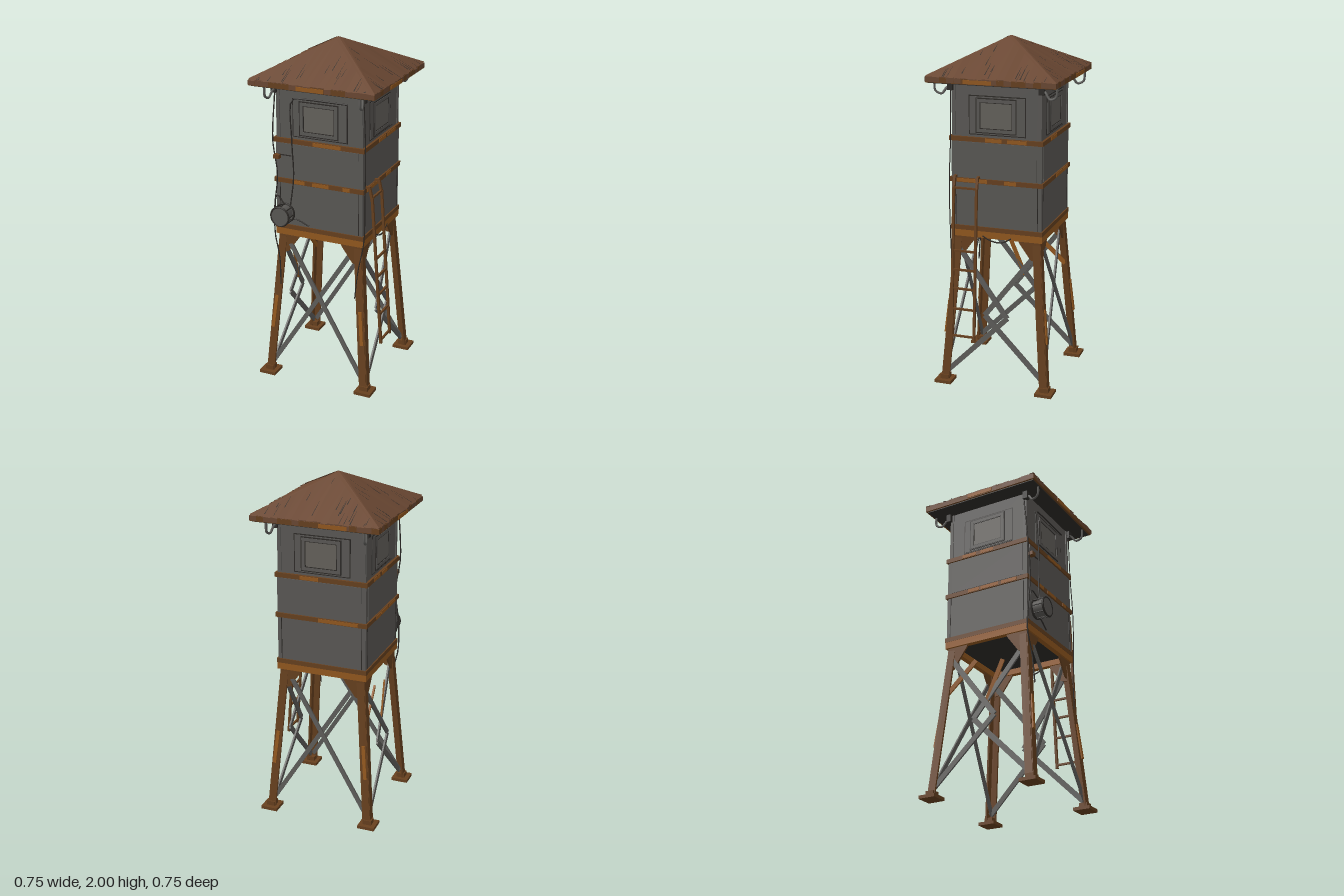
import * as THREE from 'three';

const mat = (name, color, side = THREE.FrontSide) => {
  const m = new THREE.MeshStandardMaterial({ color, side });
  m.name = name;
  return m;
};

export function createModel() {
  const wood = mat('roof wood', 0x6b4833, THREE.DoubleSide);
  const wall = mat('wall grey', 0x5b5956);
  const pane = mat('window grey', 0x66635d);
  const steel = mat('brace steel', 0x5e5d5a);
  const rust = mat('dark rust', 0x68411f);
  const orange = mat('bright rust', 0x94591f);
  const dark = mat('dark iron', 0x2e2b28, THREE.DoubleSide);

  const tower = new THREE.Group();
  tower.name = 'watchtower';
  tower.position.x = -0.005;
  const V = (x, y, z) => new THREE.Vector3(x, y, z);
  let seed = 7;
  const rnd = () => (seed = (seed * 16807) % 2147483647) / 2147483647;

  const add = (name, geo, material, parent = tower) => {
    const m = new THREE.Mesh(geo, material);
    m.name = name;
    parent.add(m);
    return m;
  };
  const box = (name, w, h, d, x, y, z, material, parent) => {
    const m = add(name, new THREE.BoxGeometry(w, h, d), material, parent);
    m.position.set(x, y, z);
    return m;
  };
  // Rectangular bar between two points
  const bar = (name, a, b, w, d, material, parent) => {
    const dir = b.clone().sub(a);
    const m = add(name, new THREE.BoxGeometry(w, dir.length(), d), material, parent);
    m.position.copy(a).add(b).multiplyScalar(0.5);
    m.quaternion.setFromUnitVectors(V(0, 1, 0), dir.normalize());
    return m;
  };
  const cable = (name, pts, r, material, parent) =>
    add(name, new THREE.TubeGeometry(new THREE.CatmullRomCurve3(pts.map(p => V(...p))), 24, r, 6), material, parent);
  // Group turned so that its local +z points out of side i (front, left, back, right)
  const face = (name, i) => {
    const g = new THREE.Group();
    g.name = name + i;
    g.rotation.y = i * Math.PI / 2;
    tower.add(g);
    return g;
  };
  const quads = (list) => {
    const pos = [];
    for (const [a, b, c, d] of list) for (const p of [a, b, c, a, c, d]) pos.push(p.x, p.y, p.z);
    const g = new THREE.BufferGeometry();
    g.setAttribute('position', new THREE.Float32BufferAttribute(pos, 3));
    g.computeVertexNormals();
    return g;
  };

  // Cabin walls and floor
  box('lowerCabin', 0.526, 0.53, 0.526, 0, 1.195, 0, wall);
  box('upperCabin', 0.51, 0.33, 0.51, 0, 1.615, 0, wall);
  box('floor', 0.5, 0.01, 0.5, 0, 0.927, 0, dark);

  for (let i = 0; i < 4; i++) {
    const g = face('cabinSide', i);
    // Floor beam and wall bands
    box('floorBeam', 0.536, 0.04, 0.03, 0, 0.908, 0.253, orange, g);
    box('sillBeam', 0.54, 0.026, 0.02, 0, 0.94, 0.26, rust, g);
    for (const y of [1.217, 1.452]) {
      box('wallBand', 0.544, 0.026, 0.014, 0, y, 0.265, rust, g);
      for (let k = 0; k < 3; k++)
        box('rustPatch', 0.04 + rnd() * 0.08, 0.02, 0.004, (rnd() - 0.5) * 0.4, y, 0.2725, orange, g);
    }
    box('wallPlate', 0.47, 0.2, 0.006, 0, 1.335, 0.264, wall, g);
    for (const s of [-1, 1]) {
      box('panelSeam', 0.004, 0.25, 0.003, s * 0.24, 1.08, 0.2635, dark, g);
      box('cornerTrim', 0.02, 0.3, 0.008, s * 0.247, 1.615, 0.256, wall, g);
    }
    // Window: dark surround, outer frame, inner frame, pane
    box('windowRecess', 0.33, 0.22, 0.003, 0.005, 1.587, 0.256, dark, g);
    box('shutterBoard', 0.318, 0.208, 0.006, 0.005, 1.587, 0.257, wall, g);
    const frame = (w, h, t, z, material) => {
      for (const s of [-1, 1]) {
        box('windowFrame', t, h, 0.01, s * (w - t) / 2, 1.587, z, material, g);
        box('windowFrame', w, t, 0.01, 0, 1.587 + s * (h - t) / 2, z, material, g);
      }
    };
    frame(0.236, 0.196, 0.006, 0.259, dark);
    frame(0.224, 0.184, 0.018, 0.261, wall);
    frame(0.188, 0.15, 0.005, 0.259, dark);
    box('windowPane', 0.178, 0.14, 0.006, 0, 1.587, 0.259, pane, g);
  }

  // Roof: solid pyramid, uneven planks, hip boards, cracks
  const H = 0.368, eaveY = 1.8, rise = 0.19;
  box('roofRim', 0.735, 0.03, 0.735, 0, 1.787, 0, rust);
  box('roofCeiling', 0.715, 0.006, 0.715, 0, 1.77, 0, dark);
  const pyramid = add('roofCore', new THREE.ConeGeometry(H * Math.SQRT2, rise, 4, 1).rotateY(Math.PI / 4).toNonIndexed(), wood);
  pyramid.geometry.computeVertexNormals();
  pyramid.position.y = eaveY + rise / 2;
  // Point on the front slope: u across, z out from the centre, lift off the slope
  const slope = (u, z, lift) => V(u, eaveY + rise * (1 - z / H) + lift, z);
  for (let i = 0; i < 4; i++) {
    const g = face('roofSide', i);
    const planks = [], cracks = [];
    const n = 18;
    for (let k = 0; k < n; k++) {
      const a = -H + 2 * H * k / n, b = -H + 2 * H * (k + 1) / n;
      const e = H + (rnd() - 0.4) * 0.008, l1 = 0.001 + rnd() * 0.006, l2 = 0.001 + rnd() * 0.006;
      const A = slope(a, e, l1), B = slope(b, e, l2);
      planks.push([A, B, slope(b, Math.abs(b), l2), slope(a, Math.abs(a), l1)]);
      planks.push([V(a, 1.776, e), V(b, 1.776, e), B, A]);
    }
    for (let k = 0; k < 18; k++) {
      const u = (rnd() - 0.5) * 0.64, top = Math.abs(u) + 0.02;
      const z0 = top + rnd() * (H - top) * 0.7, z1 = Math.min(H, z0 + 0.04 + rnd() * 0.09), w = 0.001 + rnd() * 0.002;
      cracks.push([slope(u - w, z1, 0.009), slope(u + w, z1, 0.009), slope(u + 0.003, z0, 0.009), slope(u + 0.002, z0, 0.009)]);
    }
    add('roofPlanks', quads(planks), wood, g);
    add('roofCracks', quads(cracks), dark, g);
    const c = 0.022;
    add('hipBoard', quads([
      [slope(H - c, H, 0.009), V(H, eaveY + 0.009, H), V(0, 1.998, 0), slope(-c * 0.3, c, 0.009)],
      [V(H, eaveY + 0.009, H), V(H, eaveY + 0.009, H - c), V(c, 1.99, 0), V(0, 1.998, 0)],
    ]), wood, g);
    box('rimPatch', 0.16, 0.022, 0.004, (rnd() - 0.5) * 0.3, 1.786, H + 0.003, orange, g);
  }

  // Legs, feet, gussets and eave struts at the four corners
  for (const sx of [-1, 1]) for (const sz of [-1, 1]) {
    const g = new THREE.Group();
    g.name = 'cornerLeg';
    tower.add(g);
    const P = (h, y, dx = 0, dz = 0) => V(sx * (h - dx), y, sz * (h - dz));
    bar('legFlange', P(0.318, 0.02, 0.02, 0), P(0.248, 0.91, 0.02, 0), 0.044, 0.012, rust, g);
    bar('legFlange', P(0.318, 0.02, 0, 0.02), P(0.248, 0.91, 0, 0.02), 0.012, 0.044, rust, g);
    bar('legRustStreak', P(0.303, 0.3, 0.02, -0.005), P(0.283, 0.5, 0.02, -0.005), 0.02, 0.008, orange, g);
    box('footPlate', 0.1, 0.018, 0.1, sx * 0.305, 0.009, sz * 0.305, rust, g);
    box('footBlock', 0.05, 0.03, 0.05, sx * 0.304, 0.03, sz * 0.304, rust, g);
    const s = new THREE.Shape([[0.255, 0.9], [0.12, 0.9], [0.135, 0.87], [0.2, 0.78], [0.245, 0.77]].map(p => new THREE.Vector2(sx * p[0], p[1])));
    const plate = new THREE.ExtrudeGeometry(s, { depth: 0.01, bevelEnabled: false });
    add('gusset', plate, rust, g).position.z = sz * 0.252 - 0.005;
    const s2 = new THREE.Shape([[0.255, 0.9], [0.12, 0.9], [0.135, 0.87], [0.2, 0.78], [0.245, 0.77]].map(p => new THREE.Vector2(-sz * p[0], p[1])));
    const side = add('gusset', new THREE.ExtrudeGeometry(s2, { depth: 0.01, bevelEnabled: false }), rust, g);
    side.rotation.y = Math.PI / 2;
    side.position.x = sx * 0.252 - 0.005;
    cable('eaveStrut', [[sx * 0.25, 1.74, sz * 0.255], [sx * 0.265, 1.735, sz * 0.28], [sx * 0.275, 1.7, sz * 0.31],
      [sx * 0.28, 1.715, sz * 0.345], [sx * 0.28, 1.77, sz * 0.35]], 0.007, steel, g);
    box('eaveBracket', 0.03, 0.05, 0.03, sx * 0.265, 1.745, sz * 0.262, dark, g);
  }

  // Cross braces: straight at front and back, buckled on the two sides
  for (const s of [-1, 1]) for (const m of [-1, 1]) {
    const off = m * 0.007;
    bar('straightBrace', V(m * 0.295, 0.06, s * 0.298 + off), V(-m * 0.185, 0.83, s * 0.245 + off), 0.026, 0.01, steel);
    const path = [V(s * 0.298 + off, 0.06, m * 0.295), V(s * 0.278 + off, 0.425, -m * 0.07), V(s * 0.245 + off, 0.81, m * 0.225)];
    for (let k = 0; k < 2; k++) bar('buckledBrace', path[k], path[k + 1], 0.01, 0.03, steel);
  }
  bar('looseStrut', V(-0.25, 0.78, -0.07), V(-0.265, 0.6, -0.255), 0.01, 0.026, orange);
  bar('looseStrut', V(-0.25, 0.75, 0.1), V(-0.265, 0.5, 0), 0.01, 0.024, orange);

  // Ladder on the left side
  const ladder = new THREE.Group();
  ladder.name = 'ladder';
  tower.add(ladder);
  const railX = y => 0.308 + (1.17 - y) * 0.073;
  for (const z of [0.1, 0.235]) {
    bar('ladderRail', V(railX(0.3), 0.3, z), V(railX(1.18), 1.18, z), 0.014, 0.014, rust, ladder);
    bar('ladderHook', V(railX(1.18), 1.17, z), V(0.29, 1.245, z), 0.014, 0.014, rust, ladder);
    bar('ladderHook', V(0.295, 1.238, z), V(0.262, 1.238, z), 0.014, 0.014, rust, ladder);
  }
  for (const y of [0.32, 0.48, 0.6, 0.71, 0.82, 1.18])
    bar('ladderRung', V(railX(y), y, 0.1), V(railX(y), y, 0.235), 0.011, 0.011, rust, ladder);

  // Searchlight with cage on the front wall
  const lamp = new THREE.Group();
  lamp.name = 'searchlight';
  lamp.position.set(-0.2, 1.03, 0.32);
  tower.add(lamp);
  add('lampDrum', new THREE.CylinderGeometry(0.052, 0.044, 0.075, 18).rotateX(Math.PI / 2), wall, lamp);
  for (const z of [-0.035, 0.035]) add('lampHoop', new THREE.TorusGeometry(0.055, 0.006, 6, 24), dark, lamp).position.z = z;
  for (let k = 0; k < 8; k++) {
    const a = k * Math.PI / 4, c = Math.cos(a) * 0.056, s = Math.sin(a) * 0.056;
    bar('cageBar', V(c, s, -0.04), V(c, s, 0.04), 0.005, 0.005, dark, lamp);
  }
  box('lampArm', 0.03, 0.03, 0.04, 0, 0, -0.045, dark, lamp);

  // Cables, conduit and junction box
  cable('frontConduit', [[0.17, 1.7, 0.265], [-0.1, 1.7, 0.268], [-0.155, 1.69, 0.27], [-0.155, 1.45, 0.28], [-0.15, 1.25, 0.275], [-0.165, 1.08, 0.29]], 0.004, dark);
  cable('lampCable', [[-0.2, 1.09, 0.3], [-0.25, 1.13, 0.285], [-0.265, 1.05, 0.285], [-0.24, 0.97, 0.29], [-0.15, 1.0, 0.28], [-0.06, 0.965, 0.272]], 0.004, dark);
  cable('cornerCable', [[-0.27, 1.72, 0.25], [-0.275, 1.45, 0.276], [-0.25, 1.25, 0.276], [-0.272, 1.05, 0.276], [-0.275, 0.88, 0.27], [-0.245, 0.75, 0.28], [-0.235, 0.58, 0.29]], 0.004, dark);
  cable('leftCable', [[0.265, 1.73, 0.262], [0.277, 1.45, 0.262], [0.28, 1.2, 0.272], [0.275, 0.92, 0.272], [0.245, 0.75, 0.28], [0.23, 0.58, 0.29]], 0.003, dark);
  cable('saggingCable', [[0.268, 0.9, 0.08], [0.268, 0.875, 0.03], [0.268, 0.87, -0.03], [0.268, 0.9, -0.09]], 0.004, dark);
  box('junctionBox', 0.035, 0.022, 0.03, -0.245, 1.36, 0.285, rust);
  box('junctionArm', 0.08, 0.005, 0.005, -0.2, 1.37, 0.277, dark);

  return tower;
}
